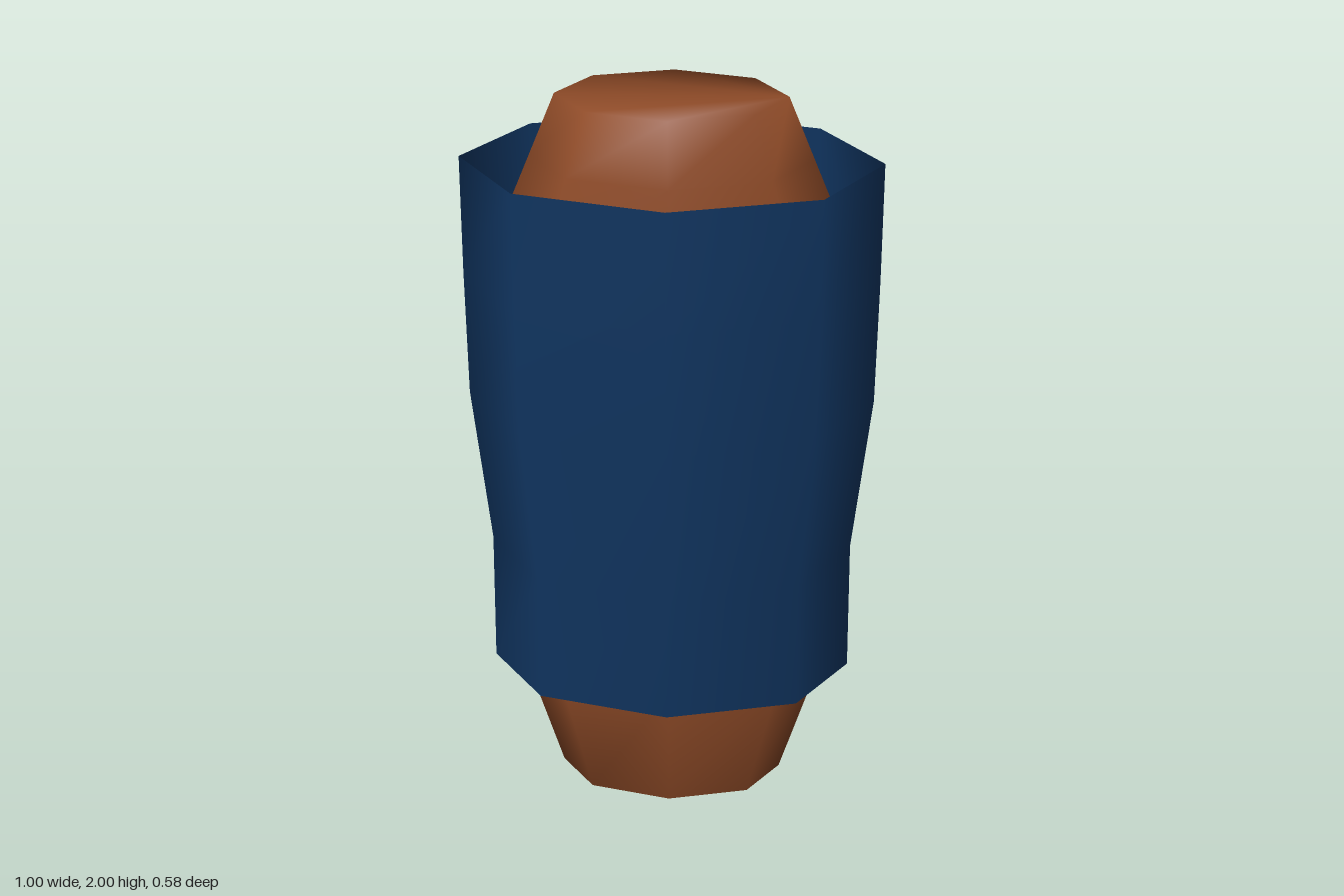
import * as THREE from 'three';

const SIDES = 8;

// Lofts eight-sided oval rings [y, halfWidth, halfDepth, centreZ] from bottom to top.
function loft(rings, capped) {
  const positions = [], index = [];
  for (const [y, w, d, cz] of rings) {
    for (let i = 0; i < SIDES; i++) {
      const a = (i / SIDES) * Math.PI * 2;
      positions.push(w * Math.cos(a), y, cz + d * Math.sin(a));
    }
  }
  for (let r = 0; r < rings.length - 1; r++) {
    for (let i = 0; i < SIDES; i++) {
      const a = r * SIDES + i, b = r * SIDES + (i + 1) % SIDES;
      index.push(a, a + SIDES, b, b, a + SIDES, b + SIDES);
    }
  }
  if (capped) {
    const top = (rings.length - 1) * SIDES;
    for (let i = 1; i < SIDES - 1; i++) {
      index.push(0, i, i + 1);
      index.push(top, top + i + 1, top + i);
    }
  }
  const geometry = new THREE.BufferGeometry();
  geometry.setAttribute('position', new THREE.Float32BufferAttribute(positions, 3));
  geometry.setIndex(index);
  geometry.computeVertexNormals();
  return geometry;
}

export function createModel() {
  const group = new THREE.Group();
  group.name = 'clothedTorso';

  const skin = new THREE.MeshStandardMaterial({ color: 0x8d4a27 });
  skin.name = 'brown skin';
  const cloth = new THREE.MeshStandardMaterial({ color: 0x10345f, side: THREE.DoubleSide });
  cloth.name = 'navy cloth';

  // Closed body, tapering at both ends
  const torso = new THREE.Mesh(loft([
    [0, 0.305, 0.153, -0.018],
    [0.4, 0.412, 0.188, -0.018],
    [0.78, 0.425, 0.218, -0.02],
    [1.25, 0.46, 0.245, -0.02],
    [1.6, 0.435, 0.235, -0.02],
    [1.85, 0.33, 0.187, -0.017],
    [2, 0.267, 0.158, -0.018],
  ], true), skin);
  torso.name = 'torso';

  // Open sleeve of cloth around the body
  const shirt = new THREE.Mesh(loft([
    [0.39, 0.478, 0.246, 0.002],
    [0.78, 0.466, 0.268, 0.002],
    [1.22, 0.502, 0.288, 0.002],
    [1.55, 0.498, 0.288, 0.002],
    [1.85, 0.491, 0.285, 0.002],
  ], false), cloth);
  shirt.name = 'shirt';

  group.add(torso, shirt);
  return group;
}
